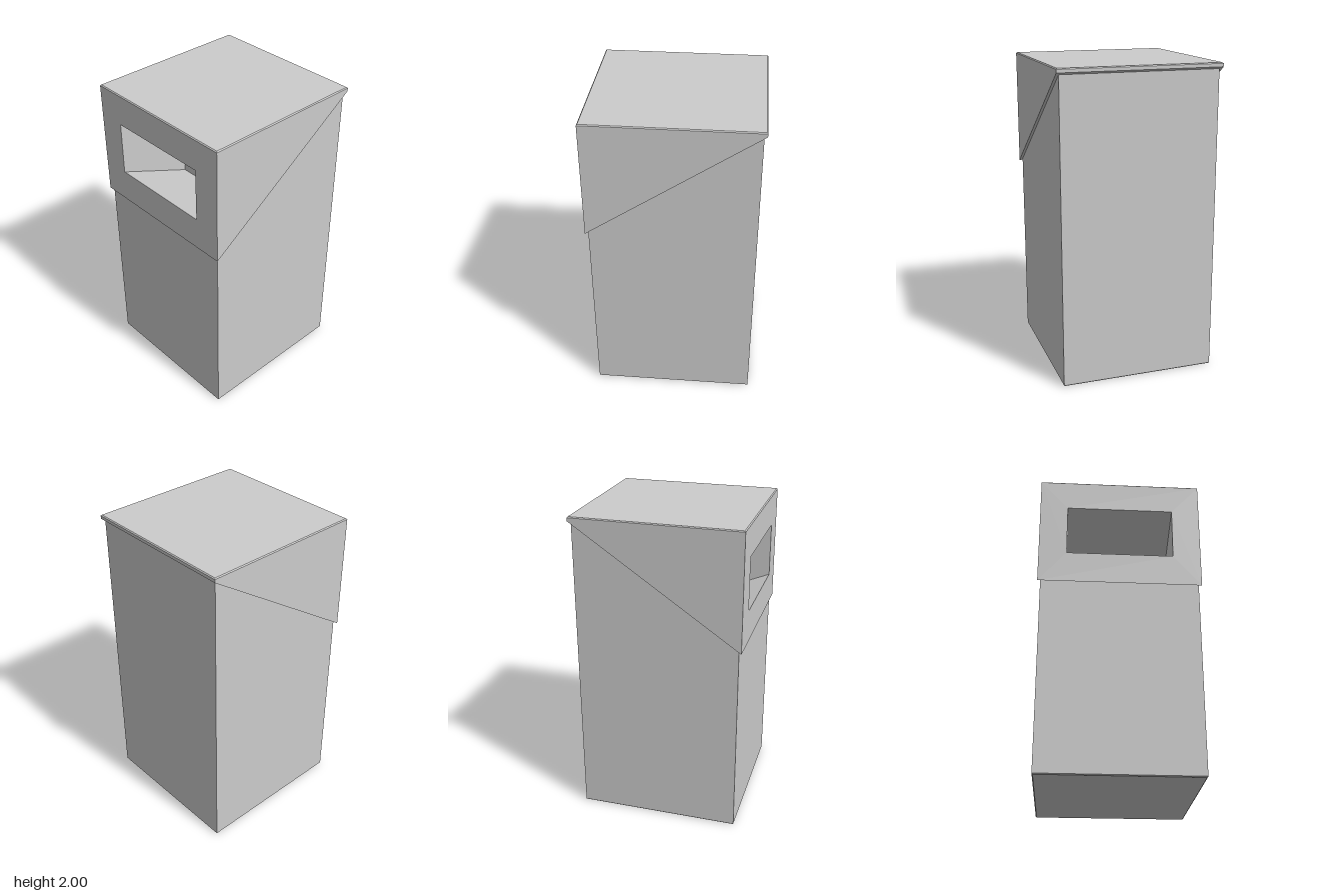
import * as THREE from 'three';

const material = new THREE.MeshStandardMaterial({ color: 0xcccccc, flatShading: true });

// Four corners in plan, counterclockwise from above; y(z) gives the height.
const planLoop = (halfX, halfZ, y) =>
  [[-halfX, halfZ], [halfX, halfZ], [halfX, -halfZ], [-halfX, -halfZ]].map(([x, z]) => [x, y(z), z]);

// Upright rectangle facing the front.
const frontLoop = (halfX, y0, y1, z) =>
  [[-halfX, y0, z], [halfX, y0, z], [halfX, y1, z], [-halfX, y1, z]];

// Quads joining two loops, starting at edge `first`.
function ring(a, b, first = 0) {
  const quads = [];
  for (let i = first; i < 4; i++) {
    const j = (i + 1) % 4;
    quads.push([a[i], a[j], b[j], b[i]]);
  }
  return quads;
}

function mesh(name, quads) {
  const geometry = new THREE.BufferGeometry();
  const points = quads.flatMap(([a, b, c, d]) => [a, b, c, a, c, d]).flat();
  geometry.setAttribute('position', new THREE.Float32BufferAttribute(points, 3));
  geometry.computeVertexNormals();
  const m = new THREE.Mesh(geometry, material);
  m.name = name;
  return m;
}

export function createModel() {
  const group = new THREE.Group();
  group.name = 'litterBin';

  const bodyX = 0.503, bodyZ = 0.517, lidX = 0.521, lidZ = 0.535;
  const bevel = 0.006;
  const slope = (z) => 1.61 - 0.68 * z;

  // Body: square bin with a sloping upper edge
  const foot = planLoop(bodyX - bevel, bodyZ - bevel, () => 0);
  const bodyLow = planLoop(bodyX, bodyZ, () => bevel);
  const bodyTop = planLoop(bodyX, bodyZ, slope);
  group.add(mesh('body', [...ring(foot, bodyLow), ...ring(bodyLow, bodyTop)]));
  group.add(mesh('base', [[...foot].reverse()]));

  // Lid: wedge hood with an overhanging rim and a slot in its front
  const lidLow = planLoop(lidX, lidZ, slope);
  const lidHigh = planLoop(lidX, lidZ, () => 2 - bevel);
  const lidTop = planLoop(lidX - bevel, lidZ - bevel, () => 2);
  group.add(mesh('lid', [...ring(lidLow, lidHigh, 1), ...ring(lidHigh, lidTop), lidTop]));
  group.add(mesh('lidRim', ring(bodyTop, lidLow)));

  const slot = frontLoop(0.342, 1.455, 1.797, lidZ);
  group.add(mesh('lidFront', ring(frontLoop(lidX, slope(lidZ), 2 - bevel, lidZ), slot)));

  // Chute: slants down from the slot to a closed end
  const chuteEnd = frontLoop(0.342, 1.25, 1.592, 0.04);
  group.add(mesh('chute', [...ring(slot, chuteEnd), chuteEnd]));

  return group;
}
